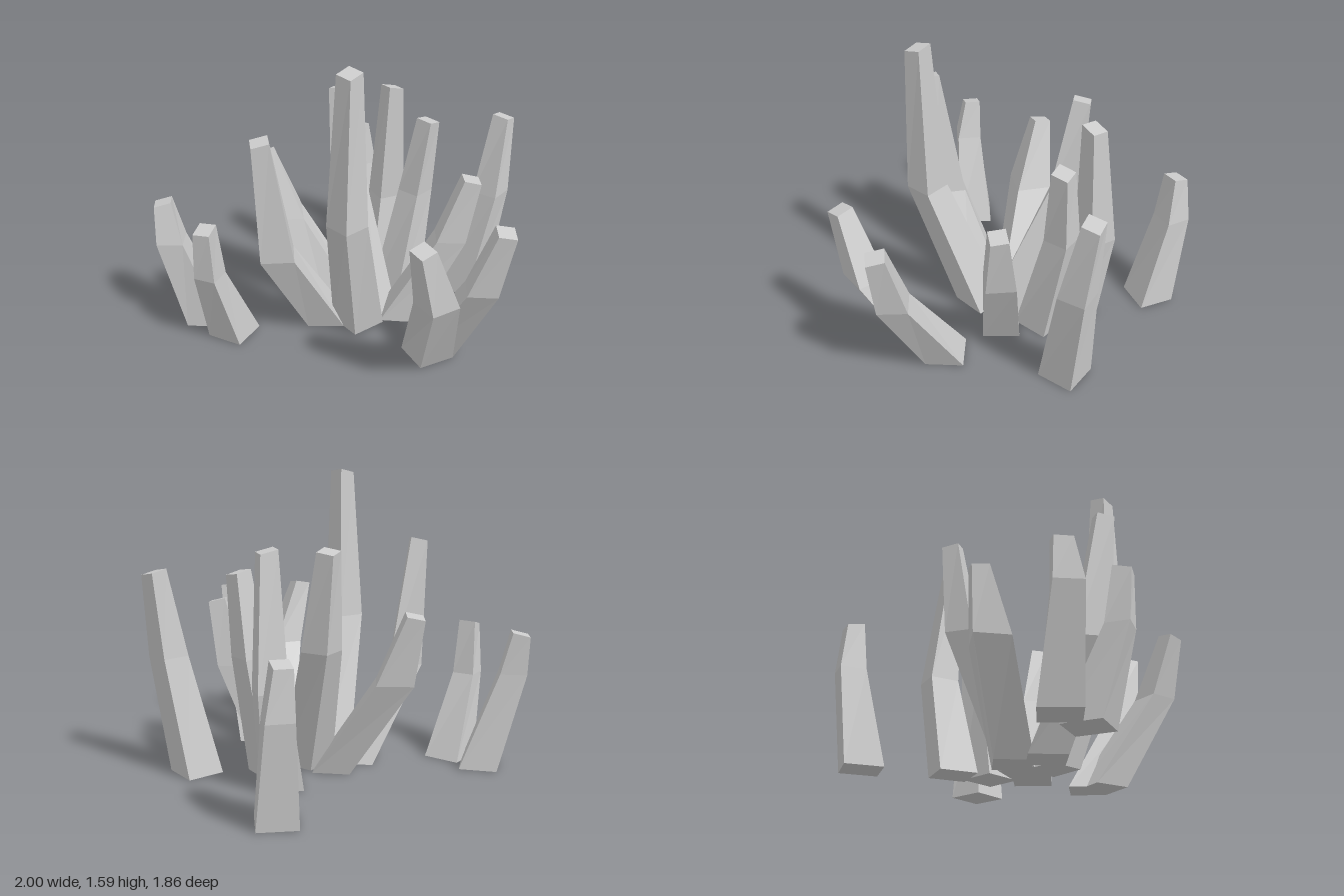
import * as THREE from 'three';

const BASE_HALF = 0.1, TIP_HALF = 0.045; // half widths of the foot and the cut tip
const TWIST = -10; // degrees each stalk turns from foot to tip

// Bends a two-storey box through foot, bend and tip, given as [x, z]
function stalkGeometry(foot, bend, tip, bendHalf, turn, tipY, bendY) {
  const box = new THREE.BoxGeometry(2, 2, 2, 1, 2, 1);
  const pos = box.attributes.position;
  const centres = [foot, bend, tip];
  const halves = [BASE_HALF, bendHalf, TIP_HALF];
  const heights = [0, bendY, tipY];
  const lean = new THREE.Vector2(tip[0] - foot[0], tip[1] - foot[1]).normalize();
  for (let i = 0; i < pos.count; i++) {
    const level = Math.round(pos.getY(i) + 1);
    const offset = new THREE.Vector2(pos.getX(i), pos.getZ(i))
      .multiplyScalar(halves[level])
      .rotateAround(new THREE.Vector2(), THREE.MathUtils.degToRad(turn + TWIST * level / 2));
    // the cut tip slopes down on its outer side
    const slope = level === 2 ? -0.25 * offset.dot(lean) : 0;
    pos.setXYZ(i, centres[level][0] + offset.x, heights[level] + slope, centres[level][1] + offset.y);
  }
  const geometry = box.toNonIndexed();
  geometry.computeVertexNormals();
  return geometry;
}

export function createModel() {
  const group = new THREE.Group();
  group.name = 'stalkCluster';
  const material = new THREE.MeshStandardMaterial({ color: 0xcccccc, flatShading: true });

  function addStalk(name, foot, bend, tip, bendHalf, turn, tipY, bendY = 0.52) {
    const mesh = new THREE.Mesh(stalkGeometry(foot, bend, tip, bendHalf, turn, tipY, bendY), material);
    mesh.name = name;
    group.add(mesh);
  }

  // Central clump, spreading from a shared root
  addStalk('tallStalk', [0.02, 0.1], [-0.145, 0.33], [-0.14, 0.35], 0.075, -15, 1.57, 0.76);
  addStalk('rightStalk', [-0.13, -0.01], [-0.435, 0.07], [-0.52, 0.12], 0.088, 23, 1.2);
  addStalk('backLeftStalk', [0.35, -0.31], [0.415, -0.385], [0.415, -0.335], 0.077, 3, 1.205);
  addStalk('backStalk', [0.15, 0], [0.15, -0.36], [0.135, -0.45], 0.075, 49, 1.205, 0.7);
  addStalk('leftStalk', [0.35, -0.1], [0.475, -0.13], [0.52, -0.09], 0.068, -20, 1.075, 0.64);
  addStalk('backRightStalk', [0.03, -0.12], [-0.23, -0.37], [-0.3, -0.47], 0.095, 22, 0.875);
  addStalk('frontLeftStalk', [0.27, 0.11], [0.5, 0.25], [0.58, 0.305], 0.078, 29, 0.875);

  // Separate stalks around the clump
  addStalk('outerLeftStalk', [0.75, 0], [0.875, 0.04], [0.937, 0.02], 0.073, -24, 1.075, 0.63);
  addStalk('outerFrontRightStalk', [0.24, 0.52], [0.115, 0.815], [0, 0.87], 0.08, -4, 0.875);
  addStalk('outerFrontLeftStalk', [0.315, 0.475], [0.385, 0.78], [0.44, 0.87], 0.076, 32, 0.875);
  addStalk('outerBackStalk', [0.46, -0.765], [0.465, -0.865], [0.45, -0.875], 0.068, 7, 0.77);
  addStalk('outerRightBackStalk', [-0.75, -0.27], [-0.91, -0.315], [-0.93, -0.35], 0.07, 27, 0.735);
  addStalk('outerRightFrontStalk', [-0.655, -0.078], [-0.79, 0.02], [-0.805, 0.04], 0.06, 50, 0.735, 0.45);
  return group;
}
